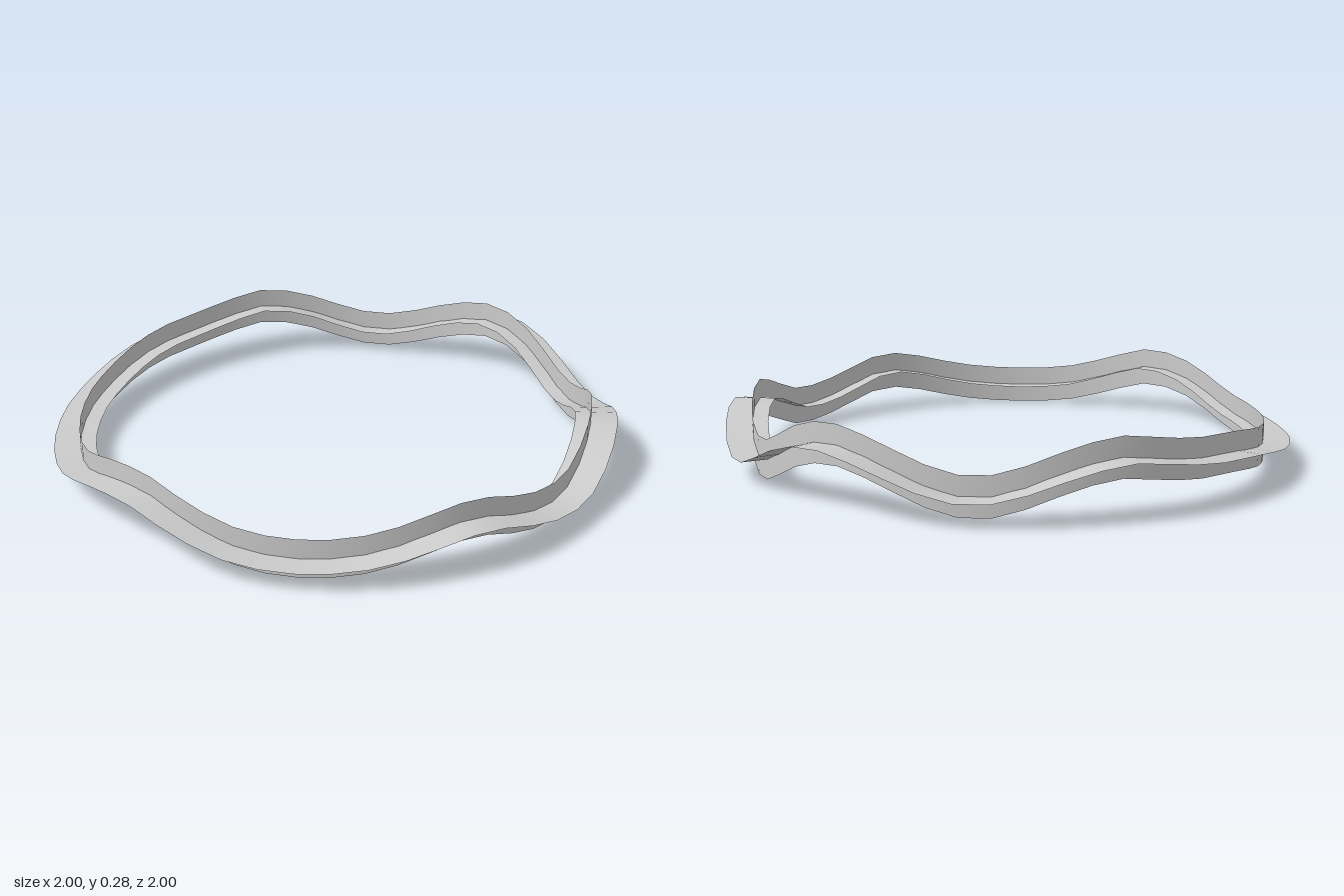
import * as THREE from 'three';

// Height of the ring's centre line every 10 degrees, from the front (+z) towards +x
const HEIGHTS = [
  0.18, 0.132, 0.088, 0.072, 0.075, 0.095, 0.135, 0.157, 0.118,
  0.085, 0.09, 0.145, 0.185, 0.16, 0.1, 0.071, 0.122, 0.19,
  0.208, 0.17, 0.112, 0.081, 0.115, 0.17, 0.195, 0.17, 0.15,
  0.14, 0.118, 0.095, 0.085, 0.075, 0.075, 0.085, 0.13, 0.173,
];
const SEGMENTS = 54;

// Smooth periodic interpolation of the heights, t in 0..1
function waveHeight(t) {
  const n = HEIGHTS.length;
  const i = Math.floor(t * n);
  const f = t * n - i;
  const [a, b, c, d] = [-1, 0, 1, 2].map((k) => HEIGHTS[(i + k + n) % n]);
  return b + 0.5 * f * (c - a + f * (2 * a - 5 * b + 4 * c - d + f * (3 * (b - c) + d - a)));
}

// Closed strip swept round the ring between two [radius, height offset] edges
function strip(name, edgeA, edgeB, material) {
  const positions = [];
  const indices = [];
  for (let i = 0; i < SEGMENTS; i++) {
    const t = i / SEGMENTS;
    const angle = t * Math.PI * 2;
    for (const [r, dy] of [edgeA, edgeB]) {
      positions.push(r * Math.sin(angle), waveHeight(t) + dy, r * Math.cos(angle));
    }
    const a = i * 2;
    const b = ((i + 1) % SEGMENTS) * 2;
    indices.push(a, a + 1, b, b, a + 1, b + 1);
  }
  const geometry = new THREE.BufferGeometry();
  geometry.setAttribute('position', new THREE.Float32BufferAttribute(positions, 3));
  geometry.setIndex(indices);
  geometry.computeVertexNormals();
  const mesh = new THREE.Mesh(geometry, material);
  mesh.name = name;
  return mesh;
}

export function createModel() {
  const group = new THREE.Group();
  group.name = 'wavyRing';
  const material = new THREE.MeshStandardMaterial({ color: 0xcccccc, side: THREE.DoubleSide });

  // Two thin ribbons crossing each other along the same wave
  group.add(strip('flatRibbon', [0.852, 0], [1, 0], material));
  group.add(strip('uprightRibbon', [0.907, 0.069], [0.907, -0.069], material));
  return group;
}
